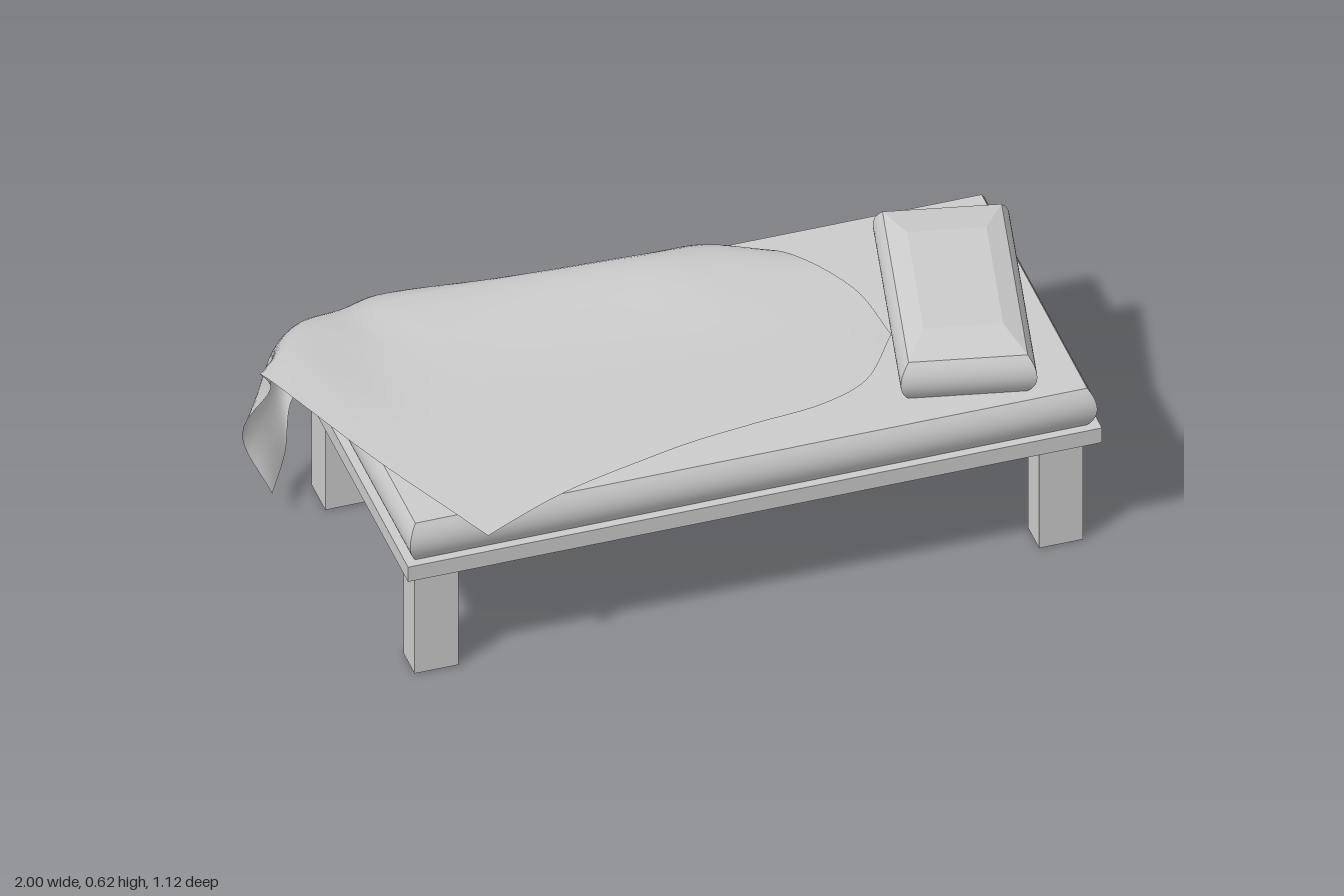
import * as THREE from 'three';

const grey = new THREE.MeshStandardMaterial({ color: 0xcccccc });
const greyBoth = new THREE.MeshStandardMaterial({ color: 0xcccccc, side: THREE.DoubleSide });
const greyFlat = new THREE.MeshStandardMaterial({ color: 0xcccccc, side: THREE.DoubleSide, flatShading: true });

function geometryFrom(positions, indices) {
  const g = new THREE.BufferGeometry();
  g.setAttribute('position', new THREE.Float32BufferAttribute(positions, 3));
  g.setIndex(indices);
  g.computeVertexNormals();
  return g;
}

// Padded block: four bulging sides with mitred corners; bands are lists of [halfX, halfZ, y] rings
function cushionGeometry(bands) {
  const positions = [], indices = [];
  const signs = [[-1, 1], [1, 1], [1, -1], [-1, -1]];
  const corner = ([hx, hz, y], k) => [signs[k % 4][0] * hx, y, signs[k % 4][1] * hz];
  for (const rings of bands) {
    for (let k = 0; k < 4; k++) {
      const base = positions.length / 3;
      rings.forEach((ring) => positions.push(...corner(ring, k), ...corner(ring, k + 1)));
      for (let i = 0; i < rings.length - 1; i++) {
        const a = base + i * 2;
        indices.push(a, a + 1, a + 3, a, a + 3, a + 2);
      }
    }
  }
  // Flat top and bottom
  const top = bands.at(-1).at(-1), bottom = bands[0][0];
  for (const [ring, flip] of [[top, false], [bottom, true]]) {
    const b = positions.length / 3;
    for (let k = 0; k < 4; k++) positions.push(...corner(ring, k));
    indices.push(...(flip ? [b, b + 2, b + 1, b, b + 3, b + 2] : [b, b + 1, b + 2, b, b + 2, b + 3]));
  }
  return geometryFrom(positions, indices);
}

// Rounded side band, widest at mid height
function bulgeBand(hx, hz, y0, y1, bulge, steps = 10) {
  return Array.from({ length: steps + 1 }, (_, i) => {
    const t = i / steps, inset = bulge * (2 * t - 1) ** 2;
    return [hx - inset, hz - inset, y0 + (y1 - y0) * t];
  });
}

// Blanket rails, each running from foot to head
const frontRail = [
  [-0.65, 0.5, 0.555], [-0.57, 0.5, 0.515], [-0.45, 0.5, 0.46], [-0.35, 0.5, 0.425], [-0.2, 0.5, 0.385],
  [-0.05, 0.5, 0.35], [0.13, 0.5, 0.325], [0.32, 0.499, 0.3], [0.45, 0.497, 0.24], [0.57, 0.497, 0.08]];
const shoulderRail = [
  [-1, 0.545, -0.2], [-0.9, 0.545, -0.28], [-0.8, 0.53, -0.37], [-0.7, 0.52, -0.39], [-0.58, 0.525, -0.41],
  [-0.3, 0.53, -0.4], [-0.14, 0.535, -0.39], [0.08, 0.54, -0.37], [0.25, 0.53, -0.36], [0.41, 0.515, -0.31]];
const foldRail = [
  [-0.955, 0.45, -0.255], [-0.92, 0.47, -0.36], [-0.82, 0.47, -0.46], [-0.7, 0.47, -0.48], [-0.6, 0.47, -0.51],
  [-0.3, 0.46, -0.475], [-0.14, 0.45, -0.455], [0.08, 0.45, -0.45], [0.22, 0.46, -0.455], [0.33, 0.45, -0.41]];
const dropRail = [
  [-1, 0.24, -0.35], [-0.92, 0.3, -0.42], [-0.82, 0.36, -0.505], [-0.7, 0.34, -0.51], [-0.6, 0.34, -0.565],
  [-0.3, 0.32, -0.49], [-0.14, 0.33, -0.46], [0.08, 0.33, -0.455], [0.2, 0.33, -0.47], [0.3, 0.345, -0.515]];
const hemRail = [
  [-0.94, 0.09, -0.29], [-0.87, 0.12, -0.4], [-0.83, 0.26, -0.445], [-0.68, 0.2, -0.49], [-0.56, 0.145, -0.53],
  [-0.28, 0.085, -0.495], [-0.1, 0.11, -0.44], [0.1, 0.12, -0.37], [0.23, 0.065, -0.32], [0.3, 0.235, -0.41]];

function blanketGeometry(nu = 54, nv = 30) {
  // Middle rail lies on the mattress, bowed outward at the head end
  const midRail = frontRail.map(([x, , z], i) => {
    const s = shoulderRail[i];
    return [(x + s[0]) / 2 + 0.045 * (i / 9) ** 4, 0.511, (z + s[2]) / 2];
  });
  const rails = [frontRail, midRail, shoulderRail, foldRail, dropRail, hemRail].map(
    (rail) => new THREE.CatmullRomCurve3(rail.map((p) => new THREE.Vector3(...p))));
  const positions = [], indices = [];
  for (let i = 0; i <= nu; i++) {
    const section = new THREE.CatmullRomCurve3(rails.map((r) => r.getPoint(i / nu)));
    for (let j = 0; j <= nv; j++) {
      positions.push(...section.getPoint(j / nv).toArray());
      if (i < nu && j < nv) {
        const a = i * (nv + 1) + j, b = a + nv + 1;
        indices.push(a, b, a + 1, b, b + 1, a + 1);
      }
    }
  }
  return geometryFrom(positions, indices);
}

export function createModel() {
  const model = new THREE.Group();
  const add = (name, geometry, material, x, y, z) => {
    const mesh = new THREE.Mesh(geometry, material);
    mesh.name = name;
    mesh.position.set(x, y, z);
    model.add(mesh);
    return mesh;
  };

  // Bed board
  add('board', new THREE.BoxGeometry(1.83, 0.046, 0.89), grey, 0.085, 0.352, 0.015);

  // Four hollow square legs, open at the bottom
  const leg = new THREE.CylinderGeometry(Math.SQRT1_2, Math.SQRT1_2, 0.33, 4, 1, true);
  leg.rotateY(Math.PI / 4).scale(0.116, 1, 1);
  for (const [xName, x] of [['Foot', -0.74], ['Head', 0.907]]) {
    for (const [zName, z, depth] of [['front', 0.37, 0.09], ['back', -0.35, 0.108]]) {
      add(`${zName}${xName}Leg`, leg, greyFlat, x, 0.165, z).scale.z = depth;
    }
  }

  // Mattress
  add('mattress', cushionGeometry([bulgeBand(0.906, 0.441, 0.375, 0.49, 0.02)]), grey, 0.083, 0, 0.015);

  // Pillow with a slightly domed top, turned on the mattress
  const sides = bulgeBand(0.172, 0.335, 0.491, 0.604, 0.022);
  const pillow = cushionGeometry([sides, [sides.at(-1), [0.1, 0.2, 0.621]]]);
  add('pillow', pillow, grey, 0.744, 0, 0.0625).rotation.y = -0.215;

  // Blanket thrown across the bed and hanging down the back
  add('blanket', blanketGeometry(), greyBoth, 0, 0, 0);

  return model;
}
